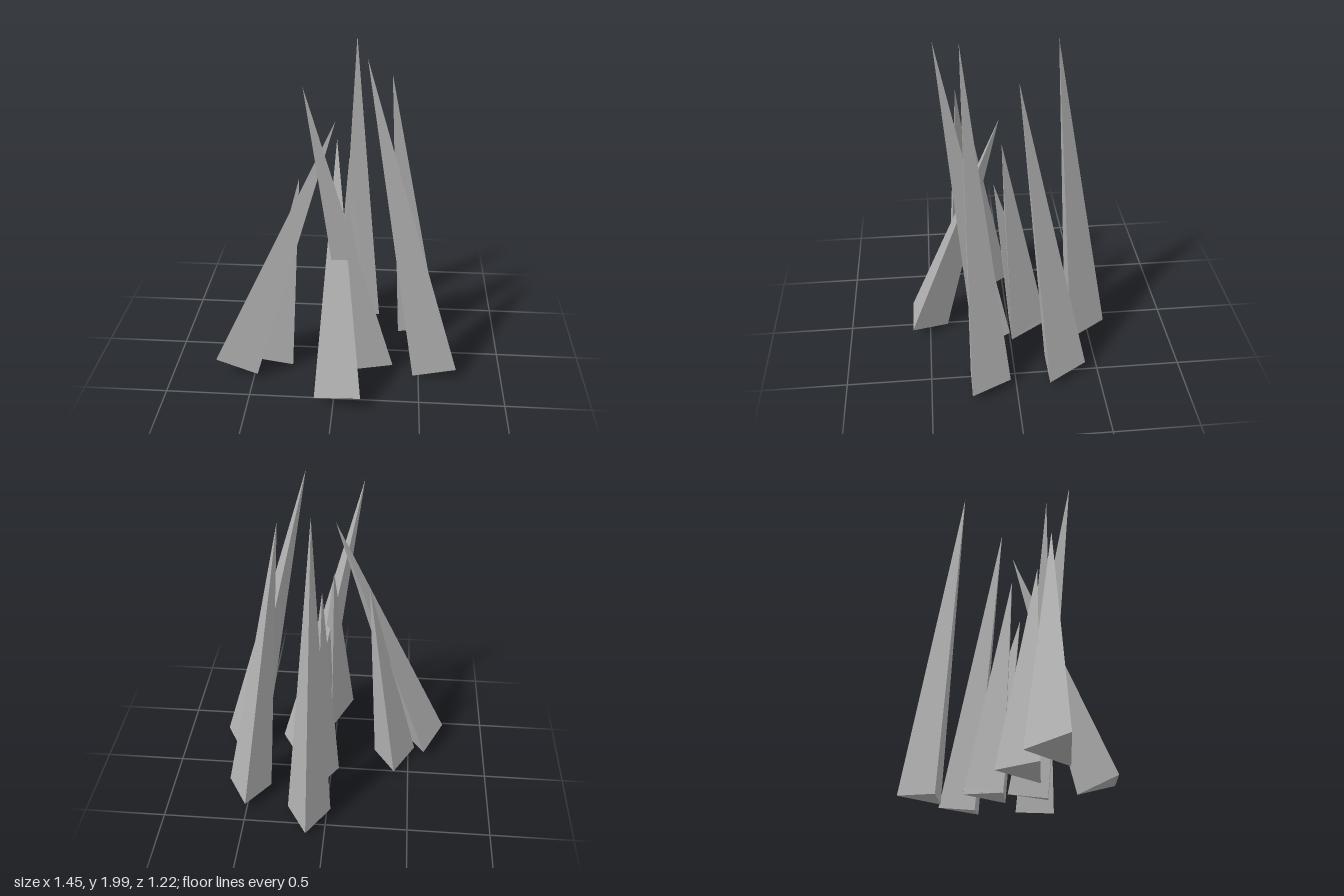
import * as THREE from 'three';

export function createModel() {
  const model = new THREE.Group();
  model.name = 'spikeCluster';
  const stone = new THREE.MeshStandardMaterial({ color: 0xb0b0b0, flatShading: true });
  stone.name = 'grey stone';
  const up = new THREE.Vector3(0, 1, 0);

  // Three-sided spike: flat end square to its axis, from base centre to tip
  function addSpike(name, base, tip) {
    const from = new THREE.Vector3(...base);
    const axis = new THREE.Vector3(...tip).sub(from);
    const height = axis.length();
    const geometry = new THREE.ConeGeometry(0.154, height, 3);
    geometry.rotateY(Math.PI); // one corner points back
    geometry.translate(0, height / 2, 0);
    const spike = new THREE.Mesh(geometry, stone);
    spike.name = name;
    spike.position.copy(from);
    spike.quaternion.setFromUnitVectors(up, axis.normalize());
    model.add(spike);
  }

  // Base centre and tip of each spike
  addSpike('backSpike', [0.11, 0.025, -0.457], [0.083, 1.97, -0.265]);
  addSpike('backLeftSpike', [0.505, 0.04, -0.272], [0.29, 1.82, -0.035]);
  addSpike('leftSpike', [0.595, 0.042, 0.188], [0.163, 1.99, 0.262]);
  addSpike('leaningSpike', [0.21, 0.045, 0.155], [-0.158, 1.88, 0.4]);
  addSpike('frontSpike', [0.028, 0.065, 0.533], [-0.01, 1.465, 0.045]);
  addSpike('rightSpike', [-0.6, 0.08, 0.264], [0, 1.66, 0.286]);
  addSpike('innerRightSpike', [-0.408, 0.027, 0.115], [-0.21, 1.285, 0.195]);
  addSpike('centreSpike', [0.085, 0.022, -0.087], [0.058, 1.34, 0.037]);
  addSpike('shortCentreSpike', [0.085, 0.027, -0.087], [0.055, 1.075, 0.085]);
  return model;
}
